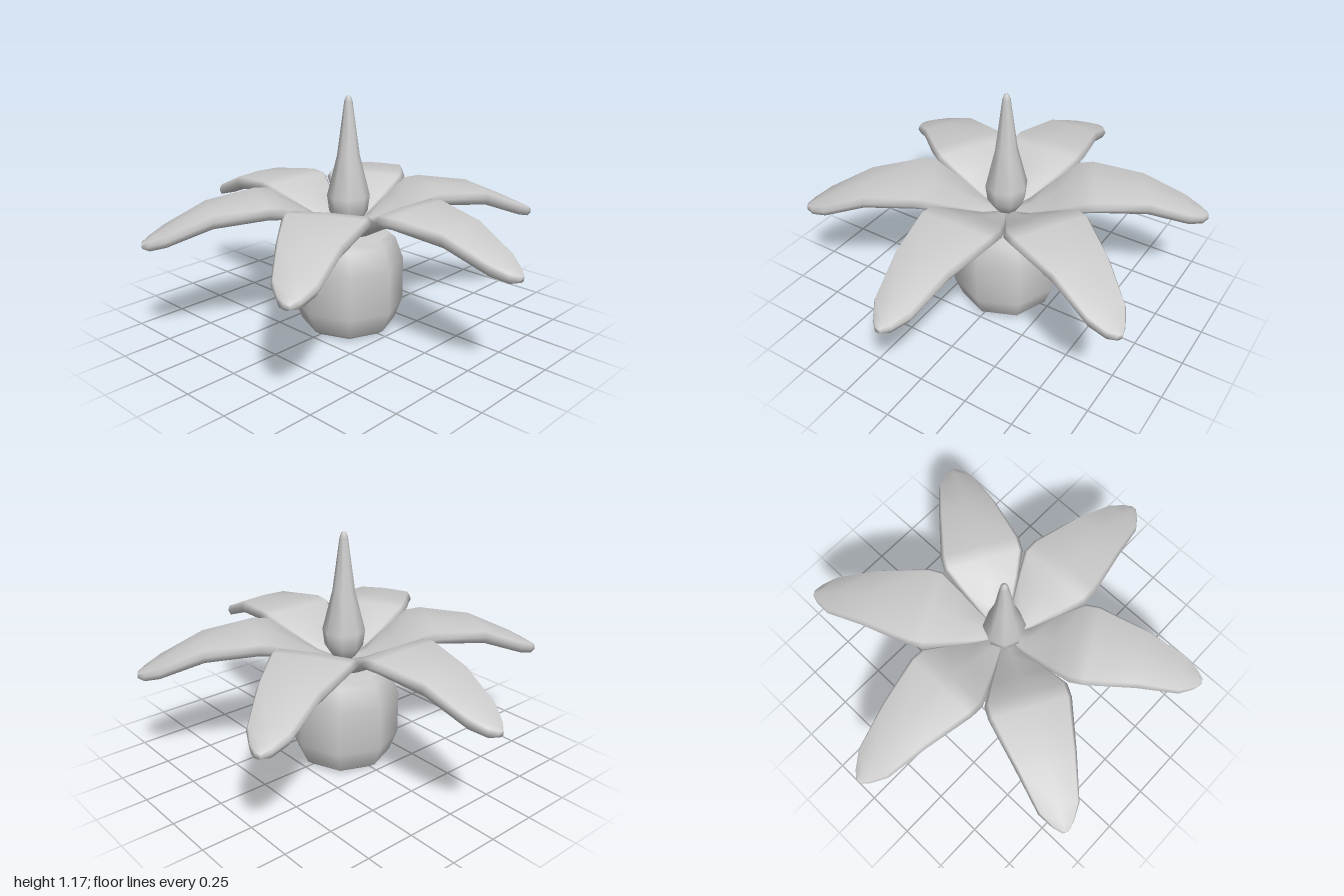
import * as THREE from 'three';

const material = new THREE.MeshStandardMaterial({ color: 0xcccccc, side: THREE.DoubleSide });

// Turned part with eight sides from [radius, height] pairs
function turned(name, profile) {
  const points = profile.map(([r, y]) => new THREE.Vector2(r, y));
  const mesh = new THREE.Mesh(new THREE.LatheGeometry(points, 8), material);
  mesh.name = name;
  return mesh;
}

// Petal along +x, lofted through bevelled cross-sections
function petalGeometry() {
  // distance from centre, half width, top height, bottom height
  const stations = [
    [0.02, 0.015, 0.53, 0.485],
    [0.12, 0.07, 0.565, 0.495],
    [0.25, 0.145, 0.64, 0.565],
    [0.36, 0.203, 0.7, 0.63],
    [0.43, 0.203, 0.708, 0.635],
    [0.68, 0.148, 0.678, 0.6],
    [0.89, 0.1, 0.585, 0.518],
    [0.965, 0.05, 0.548, 0.495],
    [0.997, 0.015, 0.53, 0.503],
  ];
  // section corners: fraction of half width, fraction of thickness
  const section = [
    [-1, 0.55], [-0.9, 0.92], [0, 1], [0.9, 0.92],
    [1, 0.55], [0.85, 0.1], [0, 0], [-0.85, 0.1],
  ];
  const n = section.length;
  const positions = [];
  const index = [];
  for (const [x, w, top, bottom] of stations) {
    for (const [u, v] of section) positions.push(x, bottom + (top - bottom) * v, u * w);
  }
  for (let i = 0; i < stations.length - 1; i++) {
    for (let j = 0; j < n; j++) {
      const a = i * n + j, b = i * n + (j + 1) % n;
      index.push(a, b, a + n, b, b + n, a + n);
    }
  }
  // close both ends
  const last = (stations.length - 1) * n;
  for (let j = 1; j < n - 1; j++) {
    index.push(0, j + 1, j);
    index.push(last, last + j, last + j + 1);
  }
  const geometry = new THREE.BufferGeometry();
  geometry.setAttribute('position', new THREE.Float32BufferAttribute(positions, 3));
  geometry.setIndex(index);
  geometry.computeVertexNormals();
  return geometry;
}

export function createModel() {
  const model = new THREE.Group();
  model.name = 'flower';

  // Rounded barrel-shaped base
  model.add(turned('base', [
    [0, 0], [0.2, 0], [0.235, 0.025], [0.275, 0.13],
    [0.275, 0.35], [0.235, 0.46], [0.2, 0.49], [0, 0.495],
  ]));

  // Teardrop spike in the centre
  model.add(turned('spike', [
    [0, 0.52], [0.055, 0.54], [0.095, 0.6], [0.105, 0.68],
    [0.055, 0.88], [0.02, 1.14], [0.012, 1.165], [0, 1.17],
  ]));

  // Six drooping petals
  const petals = new THREE.Group();
  petals.name = 'petals';
  const geometry = petalGeometry();
  for (let i = 0; i < 6; i++) {
    const petal = new THREE.Mesh(geometry, material);
    petal.name = 'petal' + (i + 1);
    petal.rotation.y = i * Math.PI / 3;
    petals.add(petal);
  }
  model.add(petals);
  return model;
}
